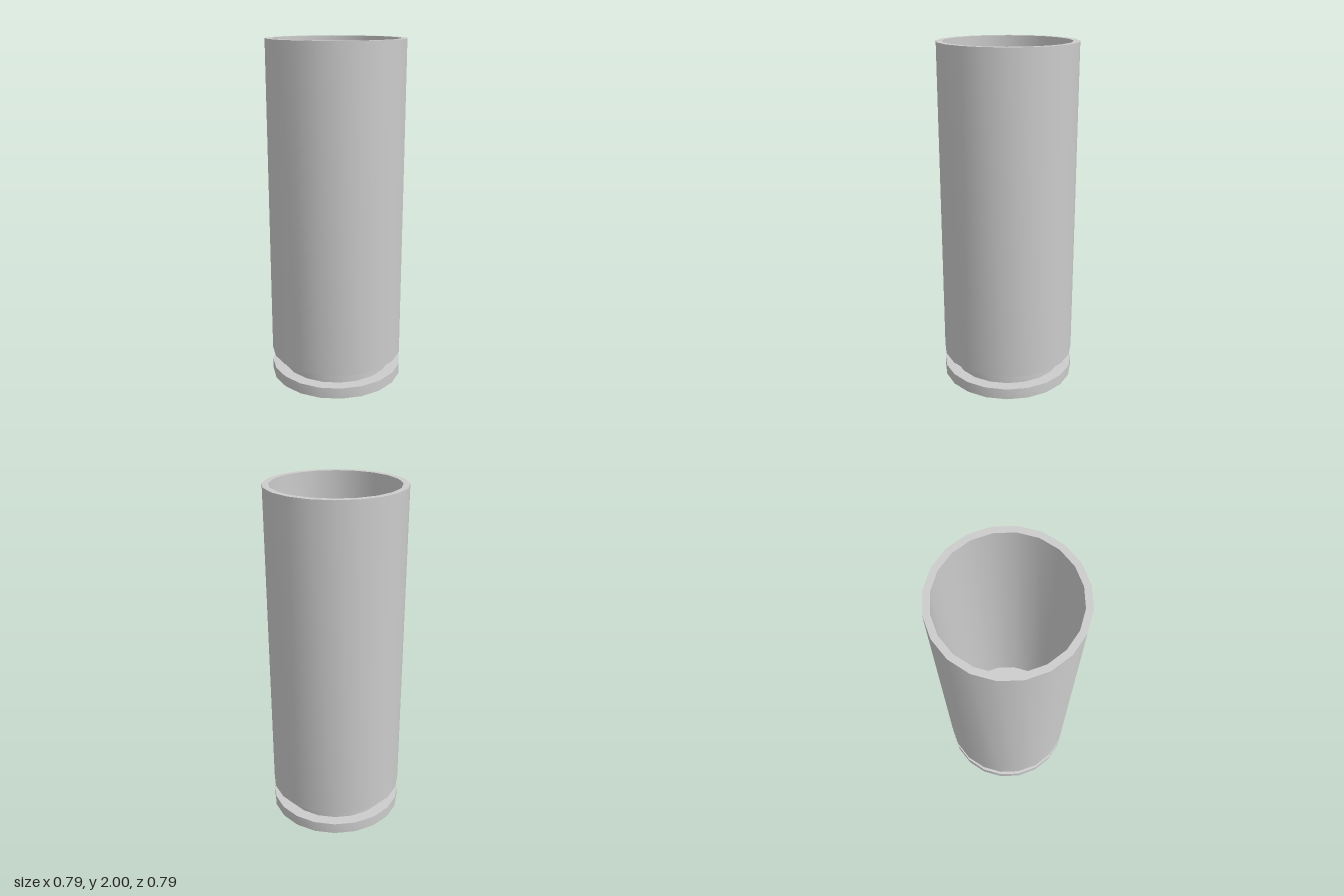
import * as THREE from 'three';
import { toCreasedNormals } from 'three/addons/utils/BufferGeometryUtils.js';

const SIDES = 20;
const R = 0.393;        // outer radius
const BORE = 0.357;     // inner radius
const GROOVE = 0.325;   // extractor groove radius
const PRIMER = 0.16;    // primer pocket radius

// Revolve a profile: smooth around the axis, sharp at the rims
function turned(name, profile, material) {
  const points = profile.map(([r, y]) => new THREE.Vector2(r, y));
  const geometry = toCreasedNormals(new THREE.LatheGeometry(points, SIDES), Math.PI / 6);
  const mesh = new THREE.Mesh(geometry, material);
  mesh.name = name;
  return mesh;
}

export function createModel() {
  const group = new THREE.Group();
  group.name = 'cartridgeCase';
  const material = new THREE.MeshStandardMaterial({ color: 0xcccccc });

  // Case: base, rim, groove, outer wall, mouth, bore and inner floor
  group.add(turned('case', [
    [PRIMER, 0.006], [PRIMER, 0],
    [R, 0], [R, 0.065],
    [GROOVE, 0.065], [GROOVE, 0.145],
    [R, 0.145], [R, 2],
    [BORE, 2], [BORE, 0.2], [0, 0.2],
  ], material));

  // Primer: disc set just inside the base
  group.add(turned('primer', [[0, 0.006], [PRIMER, 0.006]], material));

  return group;
}
